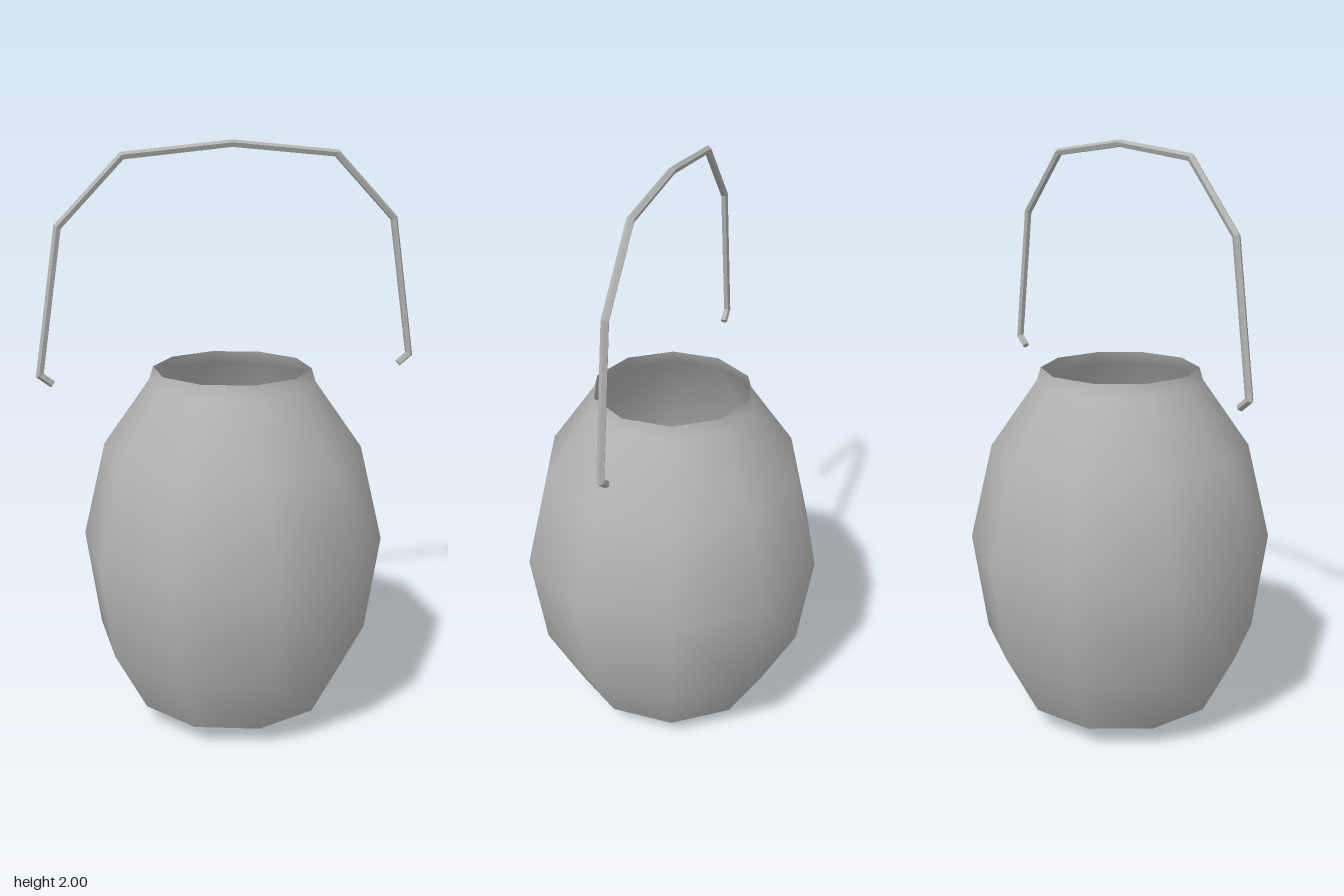
import * as THREE from 'three';

const metal = new THREE.MeshStandardMaterial({ color: 0xb2b4b2, side: THREE.DoubleSide });
metal.name = 'grey metal';
const amber = new THREE.MeshStandardMaterial({ color: 0xc88a42 });
amber.name = 'amber flame';

const toVectors = (list) => list.map(([x, y]) => new THREE.Vector2(x, y));

function part(name, geometry, material) {
  const mesh = new THREE.Mesh(geometry, material);
  mesh.name = name;
  return mesh;
}

// Unshared corners give each face its own normal
function faceted(geometry) {
  const flat = geometry.toNonIndexed();
  flat.computeVertexNormals();
  return flat;
}

// Sweeps a small polygon along a bent path in the xy plane, with mitred corners
function bentRod(path, radius, sides) {
  const positions = [];
  const index = [];
  const last = path.length - 1;
  path.forEach((p, i) => {
    const before = p.clone().sub(path[Math.max(i - 1, 0)]).normalize();
    const after = path[Math.min(i + 1, last)].clone().sub(p).normalize();
    const dir = before.clone().add(after).normalize();
    const stretch = 1 / dir.dot(i < last ? after : before);
    for (let j = 0; j < sides; j++) {
      const angle = (j / sides) * Math.PI * 2;
      const out = Math.cos(angle) * radius * stretch;
      positions.push(p.x - dir.y * out, p.y + dir.x * out, Math.sin(angle) * radius);
    }
  });
  for (let i = 0; i < last; i++) {
    for (let j = 0; j < sides; j++) {
      const a = i * sides + j;
      const b = i * sides + ((j + 1) % sides);
      index.push(a, b, a + sides, b, b + sides, a + sides);
    }
  }
  // End caps
  const end = last * sides;
  for (let k = 1; k < sides - 1; k++) {
    index.push(0, k + 1, k, end, end + k, end + k + 1);
  }
  const geometry = new THREE.BufferGeometry();
  geometry.setAttribute('position', new THREE.Float32BufferAttribute(positions, 3));
  geometry.setIndex(index);
  return faceted(geometry);
}

export function createModel() {
  const lantern = new THREE.Group();
  lantern.name = 'lantern';

  // Ten-sided barrel shell, open at top and bottom
  const shellProfile = toVectors([
    [0.357, 0.07], [0.476, 0.297], [0.525, 0.64],
    [0.445, 0.975], [0.284, 1.205], [0.27, 1.25],
  ]);
  lantern.add(part('shell', new THREE.LatheGeometry(shellProfile, 10), metal));

  // Flame: a four-sided drop poking out of the bottom opening
  const flameProfile = toVectors([[0, 0], [0.046, 0.062], [0, 0.2]]);
  lantern.add(part('flame', faceted(new THREE.LatheGeometry(flameProfile, 4)), amber));

  // Wire handle, mirrored about its peak, with hooked ends
  const half = toVectors([[-0.607, 1.23], [-0.647, 1.262], [-0.571, 1.736], [-0.36, 1.952]]);
  const mirrored = half.map((p) => new THREE.Vector2(-p.x, p.y)).reverse();
  const path = [...half, new THREE.Vector2(0, 1.987), ...mirrored];
  lantern.add(part('handle', bentRod(path, 0.0128, 5), metal));

  return lantern;
}
